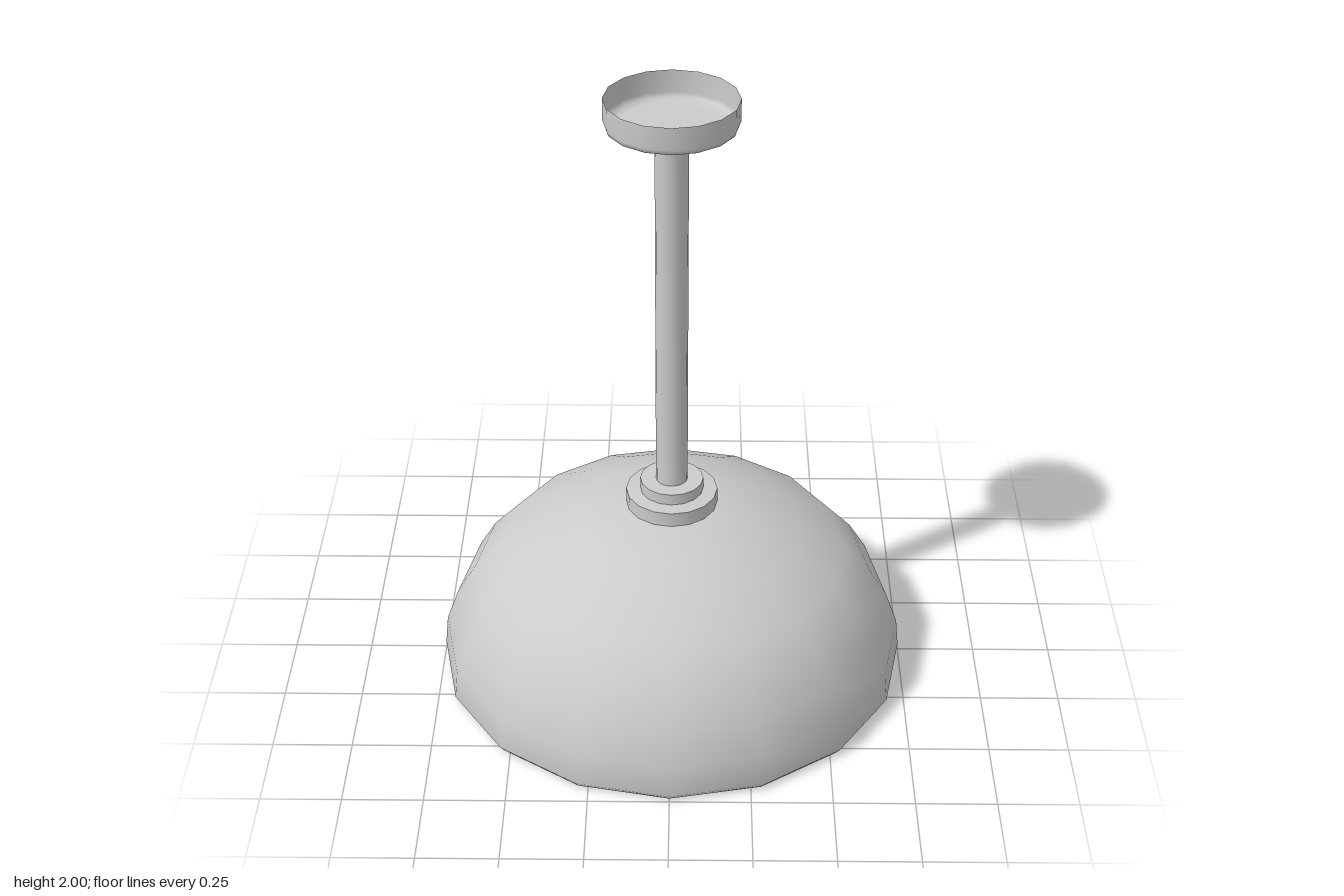
import * as THREE from 'three';
import { toCreasedNormals } from 'three/addons/utils/BufferGeometryUtils.js';

const SIDES = 16;
const material = new THREE.MeshStandardMaterial({ color: 0xcccccc, side: THREE.DoubleSide });

// Turned part: profile of [radius, height] pairs, outer side running upwards
function turned(name, profile, crease) {
  const points = profile.map(([r, y]) => new THREE.Vector2(r, y));
  let geometry = new THREE.LatheGeometry(points, SIDES);
  if (crease) geometry = toCreasedNormals(geometry, crease);
  const mesh = new THREE.Mesh(geometry, material);
  mesh.name = name;
  return mesh;
}

export function createModel() {
  const lamp = new THREE.Group();
  lamp.name = 'pendantLamp';

  // Ceiling cup, open at the top
  lamp.add(turned('ceilingCup', [
    [0.05, 1.91], [0.175, 1.905], [0.195, 1.915], [0.2, 1.93], [0.2, 2],
  ]));

  // Hanging rod
  lamp.add(turned('rod', [[0.05, 0.67], [0.05, 1.91], [0, 1.91]], 0.8));

  // Stepped collar where the rod meets the shade
  lamp.add(turned('collar', [
    [0, 0.6], [0.145, 0.6], [0.145, 0.65], [0.1, 0.653], [0.1, 0.69], [0.05, 0.69],
  ], 0.8));

  // Domed shade: inner wall down, around the rolled lip, outer wall up
  lamp.add(turned('shade', [
    [0, 0.57], [0.14, 0.56], [0.27, 0.525], [0.38, 0.475], [0.51, 0.395],
    [0.59, 0.31], [0.65, 0.21], [0.685, 0.11], [0.69, 0.025], [0.7, 0.005],
    [0.735, 0.005], [0.75, 0.025], [0.74, 0.125], [0.7, 0.235], [0.64, 0.335],
    [0.555, 0.43], [0.415, 0.51], [0.29, 0.565], [0.15, 0.602], [0, 0.605],
  ]));

  // Bulb and its socket
  lamp.add(turned('bulb', [
    [0, 0.05], [0.06, 0.064], [0.11, 0.102], [0.142, 0.155], [0.15, 0.21],
    [0.138, 0.27], [0.108, 0.335], [0.08, 0.4], [0.07, 0.45],
  ]));
  lamp.add(turned('socket', [[0, 0.43], [0.08, 0.43], [0.08, 0.58]], 0.8));

  return lamp;
}
